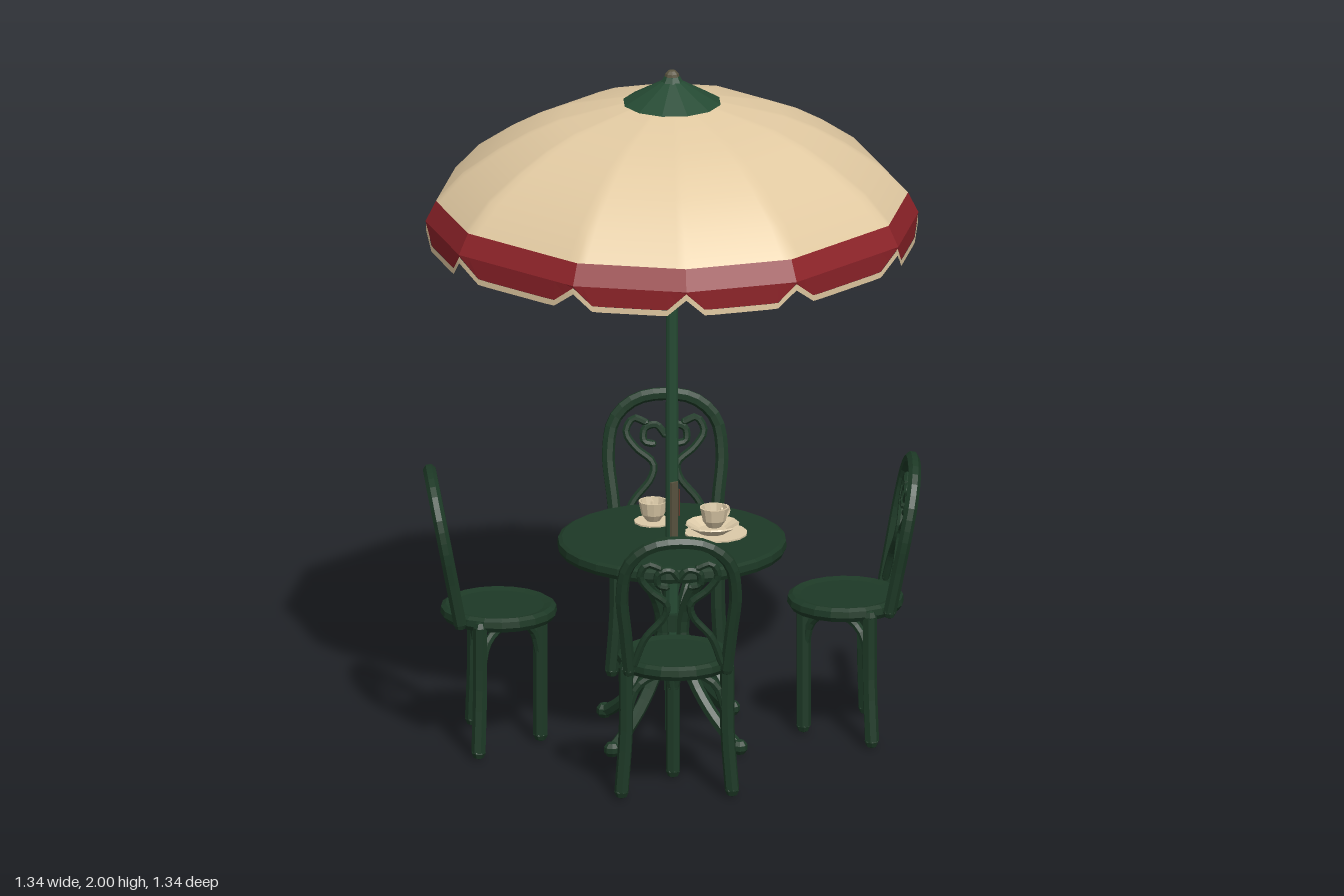
import * as THREE from 'three';

const mat = (name, color, flatShading = true) => new THREE.MeshStandardMaterial({ name, color, flatShading });
const V = (x, y, z) => new THREE.Vector3(x, y, z);

export function createModel() {
  const iron = mat('dark green iron', 0x1d3926);
  const green = mat('green paint', 0x254a33);
  const cream = mat('cream canvas', 0xe2caa2, false);
  cream.side = THREE.DoubleSide;
  const red = mat('red trim', 0x8e2329);
  red.side = THREE.DoubleSide;
  const china = mat('china', 0xdccaa8);
  const bronze = mat('dull bronze', 0x5a5440);
  const rust = mat('rust', 0x6a3a2c);

  const root = new THREE.Group();
  root.name = 'patioSet';

  function add(parent, name, geo, material, x = 0, y = 0, z = 0) {
    const m = new THREE.Mesh(geo, material);
    m.name = name;
    m.position.set(x, y, z);
    parent.add(m);
    return m;
  }

  // Bent rod with rounded ends
  function rod(parent, name, pts, r, material, segs = 16) {
    const g = new THREE.Group();
    g.name = name;
    const curve = new THREE.CatmullRomCurve3(pts);
    add(g, name + 'Bar', new THREE.TubeGeometry(curve, segs, r, 7), material);
    for (const p of [pts[0], pts[pts.length - 1]]) {
      add(g, name + 'End', new THREE.SphereGeometry(r, 7, 4), material, p.x, p.y, p.z);
    }
    parent.add(g);
    return g;
  }

  // ---------- Umbrella ----------
  const umbrella = new THREE.Group();
  umbrella.name = 'umbrella';
  root.add(umbrella);

  const corners = [];
  for (let q = 0; q < 4; q++) {
    for (const d of [-18, 18, 45]) corners.push(THREE.MathUtils.degToRad(q * 90 + d));
  }
  const N = 12; // samples across each panel

  // Ring around the twelve panels; y is a rule of the place t across a panel
  function ring(r, y) {
    const out = [];
    corners.forEach((a, i) => {
      const b = corners[(i + 1) % corners.length];
      for (let k = 0; k < N; k++) {
        const t = k / N;
        out.push(V(
          r * THREE.MathUtils.lerp(Math.sin(a), Math.sin(b), t),
          y(t),
          r * THREE.MathUtils.lerp(Math.cos(a), Math.cos(b), t)));
      }
    });
    return out;
  }

  // Skin through the rings, given as [radius, height rule] from top to bottom
  function skin(profile) {
    const rings = profile.map(([r, y]) => ring(r, y));
    const pos = [], idx = [], n = rings[0].length;
    rings.forEach(r => r.forEach(p => pos.push(p.x, p.y, p.z)));
    for (let j = 0; j < rings.length - 1; j++) {
      for (let i = 0; i < n; i++) {
        const a = j * n + i, d = j * n + (i + 1) % n, b = a + n, c = d + n;
        idx.push(a, b, c, a, c, d);
      }
    }
    const g = new THREE.BufferGeometry();
    g.setAttribute('position', new THREE.Float32BufferAttribute(pos, 3));
    g.setIndex(idx);
    g.computeVertexNormals();
    return g;
  }

  // Flaps with slanted sides and nearly straight bottoms
  const level = y => () => y;
  const flap = (top, drop) => t => top - drop * Math.min(1, Math.min(t, 1 - t) / 0.17);
  const valance = inset => [[0.675 - inset, level(1.62)], [0.705 - inset, level(1.56)],
    [0.703 - inset, flap(1.554, 0.052)]];
  add(umbrella, 'canopy', skin([[0.03, 1.915], [0.15, 1.9], [0.32, 1.858], [0.41, 1.82],
    [0.495, 1.772], [0.6, 1.7], [0.675, 1.62]].map(([r, y]) => [r, level(y)])), cream);
  add(umbrella, 'valance', skin(valance(0)), red);
  add(umbrella, 'valanceLining', skin(valance(0.006)), cream);
  add(umbrella, 'valanceTrim', skin([[0.704, flap(1.554, 0.052)], [0.704, flap(1.535, 0.05)]]), cream);

  // Cap, finial, pole and strut hub
  add(umbrella, 'cap', new THREE.CylinderGeometry(0.025, 0.142, 0.065, 12), green, 0, 1.937, 0);
  add(umbrella, 'finialCollar', new THREE.CylinderGeometry(0.022, 0.034, 0.02, 8), green, 0, 1.972, 0);
  add(umbrella, 'finial', new THREE.SphereGeometry(0.022, 8, 6), bronze, 0, 1.979, 0);
  add(umbrella, 'pole', new THREE.CylinderGeometry(0.016, 0.02, 1.9, 10), green, 0, 0.97, 0);
  add(umbrella, 'strutHub', new THREE.CylinderGeometry(0.034, 0.024, 0.09, 10), green, 0, 1.52, 0);
  add(umbrella, 'poleWornPatch', new THREE.BoxGeometry(0.026, 0.17, 0.008), bronze, -0.011, 0.685, 0.018);
  add(umbrella, 'poleRustPatch', new THREE.BoxGeometry(0.008, 0.08, 0.022), rust, 0.017, 0.7, 0);

  // Struts from the hub and ribs under each seam
  for (const a of corners) {
    const at = (r, y) => V(r * Math.sin(a), y, r * Math.cos(a));
    rod(umbrella, 'strut', [at(0.025, 1.545), at(0.16, 1.635), at(0.3, 1.728)], 0.009, green, 4);
    rod(umbrella, 'strutTip', [at(0.3, 1.728), at(0.36, 1.768), at(0.41, 1.8)], 0.01, cream, 4);
    rod(umbrella, 'innerRib', [at(0.41, 1.803), at(0.49, 1.758), at(0.56, 1.713)], 0.011, cream, 4);
    rod(umbrella, 'outerRib', [at(0.56, 1.713), at(0.6, 1.684), at(0.65, 1.625)], 0.008, green, 4);
  }

  // ---------- Table ----------
  const table = new THREE.Group();
  table.name = 'table';
  root.add(table);
  const lathe = (pts, segs) => new THREE.LatheGeometry(pts.map(p => new THREE.Vector2(...p)), segs);
  add(table, 'tableTop', lathe([[0, 0.572], [0.3, 0.572], [0.302, 0.562], [0.322, 0.562],
    [0.328, 0.575], [0.326, 0.594], [0.315, 0.6], [0, 0.6]], 28), iron);
  for (let i = 0; i < 4; i++) {
    const leg = rod(table, 'tableLeg', [V(0, 0.022, 0.255), V(0, 0.05, 0.212), V(0, 0.13, 0.125),
      V(0, 0.22, 0.065), V(0, 0.34, 0.04), V(0, 0.45, 0.078), V(0, 0.53, 0.15), V(0, 0.57, 0.215)], 0.019, iron, 20);
    add(leg, 'tableFoot', new THREE.SphereGeometry(0.024, 8, 5), iron, 0, 0.024, 0.258);
    leg.rotation.y = i * Math.PI / 2;
  }
  add(table, 'tableLegCollar', new THREE.CylinderGeometry(0.04, 0.04, 0.05, 10), iron, 0, 0.35, 0);

  // ---------- Tea things ----------
  function cup(x, y, z, turn) {
    const g = new THREE.Group();
    g.name = 'teacup';
    add(g, 'cupBowl', lathe([[0, 0], [0.02, 0], [0.034, 0.02], [0.042, 0.058], [0.037, 0.058],
      [0.028, 0.015], [0, 0.012]], 12), china);
    add(g, 'cupHandle', new THREE.TorusGeometry(0.016, 0.005, 5, 10), china, 0.047, 0.034, 0);
    g.position.set(x, y, z);
    g.rotation.y = turn;
    root.add(g);
  }
  add(root, 'saucer', lathe([[0, 0], [0.04, 0], [0.078, 0.024], [0.075, 0.028], [0.04, 0.009], [0, 0.009]], 14),
    china, 0.095, 0.606, 0.07);
  add(root, 'placeMat', new THREE.CylinderGeometry(0.09, 0.09, 0.006, 14), china, 0.105, 0.602, 0.075);
  add(root, 'smallMat', new THREE.CylinderGeometry(0.055, 0.055, 0.006, 12), china, 0.065, 0.602, -0.13);
  cup(0.1, 0.622, 0.072, 0);
  cup(0.065, 0.606, -0.13, 0.8);

  // ---------- Chairs (backs toward local +z) ----------
  function chair() {
    const g = new THREE.Group();
    g.name = 'chair';
    add(g, 'seat', lathe([[0, 0.388], [0.13, 0.388], [0.135, 0.378], [0.158, 0.378],
      [0.167, 0.392], [0.165, 0.41], [0.152, 0.418], [0.13, 0.412], [0, 0.412]], 20), iron);

    // Three legs with curved braces
    const feet = [[0, -0.12], [0.158, 0.066], [-0.158, 0.066]];
    feet.forEach(([x, z], i) => {
      const k = i ? 0.92 : 1;
      rod(g, 'leg', [V(x, 0.02, z), V(x * k, 0.2, z * k), V(x * k, 0.39, z * k)], 0.021, iron, 6);
      for (const j of [1, 2]) {
        const [ox, oz] = feet[(i + j) % 3];
        const at = (t, y) => V(x * k + (ox - x) * t, y, z * k + (oz - z) * t);
        rod(g, 'brace', [at(0.03, 0.27), at(0.1, 0.33), at(0.22, 0.36), at(0.36, 0.375)], 0.013, iron, 6);
      }
    });

    // Back leans outward as it rises
    const lean = y => 0.122 + (y - 0.42) * 0.19;
    const P = (x, y) => V(x, y, lean(y));
    rod(g, 'backHoop', [P(-0.14, 0.4), P(-0.152, 0.52), P(-0.163, 0.64), P(-0.145, 0.735), P(-0.085, 0.79),
      P(0, 0.805), P(0.085, 0.79), P(0.145, 0.735), P(0.163, 0.64), P(0.152, 0.52), P(0.14, 0.4)], 0.019, iron, 32);
    for (const s of [-1, 1]) {
      rod(g, 'backScroll', [[0.125, 0.42], [0.095, 0.5], [0.04, 0.57], [0.035, 0.61], [0.085, 0.655],
        [0.112, 0.7], [0.09, 0.738], [0.055, 0.725]].map(([x, y]) => P(x * s, y)), 0.011, iron, 26);
      rod(g, 'backCurl', [[0, 0.69], [0.025, 0.718], [0.058, 0.708], [0.06, 0.672], [0.035, 0.664]]
        .map(([x, y]) => P(x * s, y)), 0.011, iron, 14);
    }
    return g;
  }
  for (const sx of [-1, 1]) {
    for (const sz of [-1, 1]) {
      const c = chair();
      c.position.set(sx * 0.365, 0, sz * 0.338);
      c.rotation.y = Math.atan2(sx, sz);
      root.add(c);
    }
  }
  return root;
}
